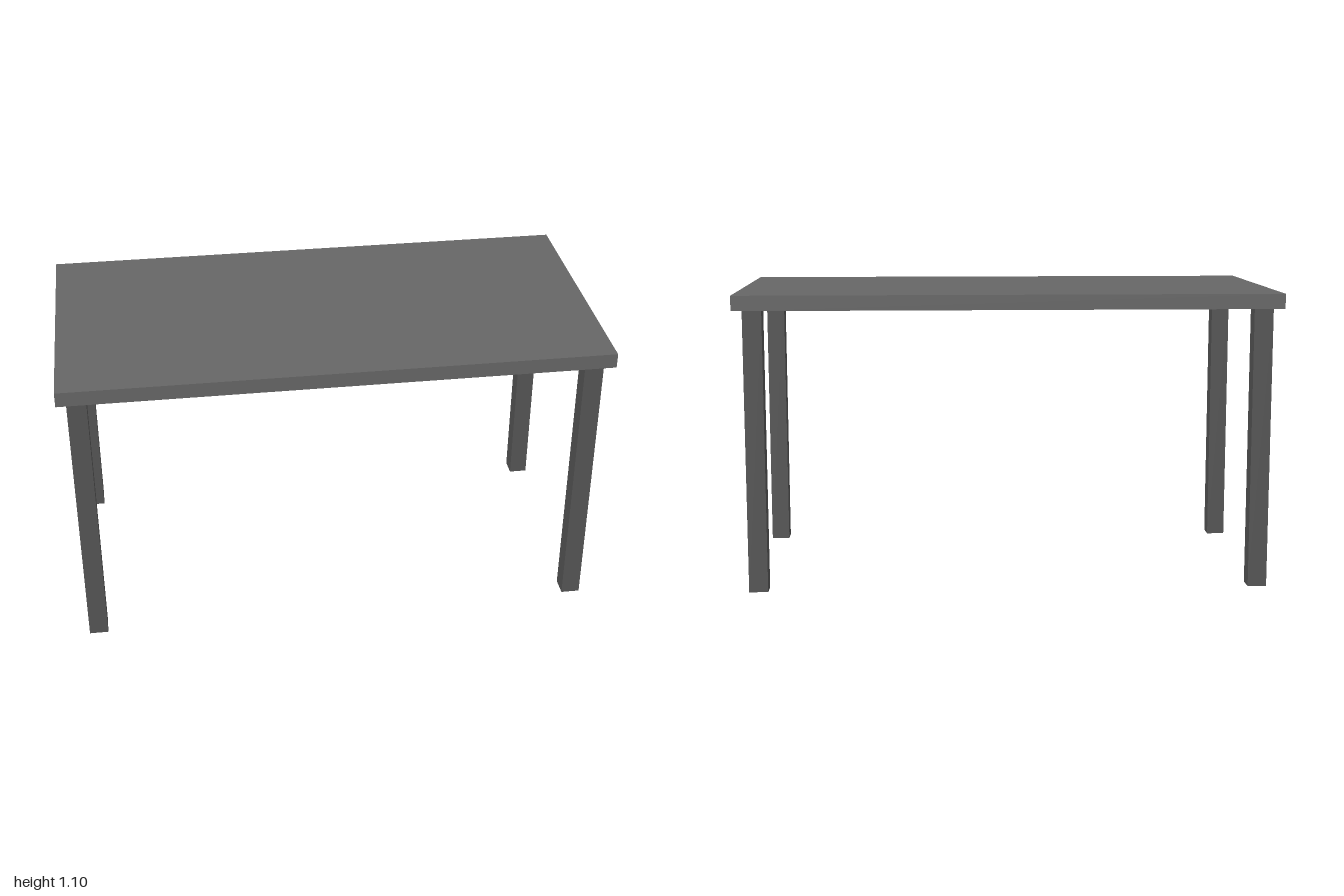
import * as THREE from 'three';

const HEIGHT = 1.1, TOP_THICKNESS = 0.055, LEG_WIDTH = 0.07;
const LEG_X = 0.93, LEG_Z = 0.43;

export function createModel() {
  const table = new THREE.Group();
  table.name = 'table';
  const topMaterial = new THREE.MeshStandardMaterial({ color: 0x666666 });
  const legMaterial = new THREE.MeshStandardMaterial({ color: 0x555555 });

  // Flat rectangular top
  const top = new THREE.Mesh(new THREE.BoxGeometry(2, TOP_THICKNESS, 1), topMaterial);
  top.name = 'tableTop';
  top.position.y = HEIGHT - TOP_THICKNESS / 2;
  table.add(top);

  // Four square legs, inset from the corners
  const legHeight = HEIGHT - TOP_THICKNESS;
  const legGeometry = new THREE.BoxGeometry(LEG_WIDTH, legHeight, LEG_WIDTH);
  for (const [xName, x] of [['Left', LEG_X], ['Right', -LEG_X]]) {
    for (const [zName, z] of [['front', LEG_Z], ['back', -LEG_Z]]) {
      const leg = new THREE.Mesh(legGeometry, legMaterial);
      leg.name = `${zName}${xName}Leg`;
      leg.position.set(x, legHeight / 2, z);
      table.add(leg);
    }
  }
  return table;
}
